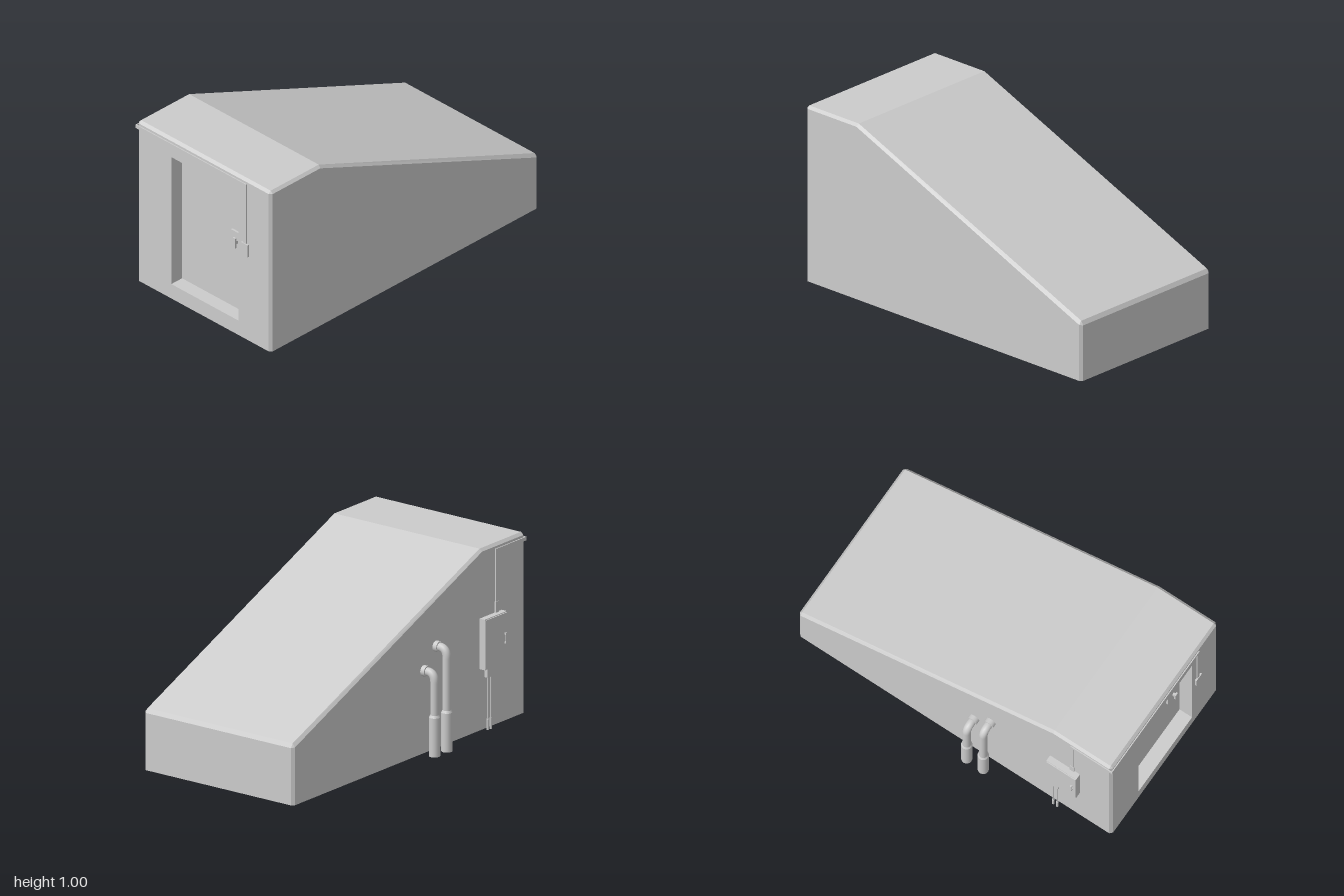
import * as THREE from 'three';

const flat = new THREE.MeshStandardMaterial({ color: 0xcccccc, flatShading: true, side: THREE.DoubleSide });
const smooth = new THREE.MeshStandardMaterial({ color: 0xcccccc, side: THREE.DoubleSide });

const BACK = -0.445, FRONT = 0.55, WALL = -0.99, BEVEL = 0.015;
const DOOR = { z0: -0.19, z1: 0.31, y0: 0.09, y1: 0.885, depth: 0.08 };

export function createModel() {
  const root = new THREE.Group();

  const add = (name, geometry, material = flat, parent = root) => {
    const mesh = new THREE.Mesh(geometry, material);
    mesh.name = name;
    parent.add(mesh);
    return mesh;
  };

  // box given by its minimum and maximum corners
  const box = (name, a, b, parent) => {
    const mesh = add(name, new THREE.BoxGeometry(b[0] - a[0], b[1] - a[1], b[2] - a[2]), flat, parent);
    mesh.position.set((a[0] + b[0]) / 2, (a[1] + b[1]) / 2, (a[2] + b[2]) / 2);
    return mesh;
  };

  // upright cylinder between two heights
  const post = (name, r, x, z, y0, y1, parent) => {
    const mesh = add(name, new THREE.CylinderGeometry(r, r, y1 - y0, 16), smooth, parent);
    mesh.position.set(x, (y0 + y1) / 2, z);
    return mesh;
  };

  const quads = (list) => {
    const p = [];
    for (const [a, b, c, d] of list) p.push(...a, ...b, ...c, ...a, ...c, ...d);
    const g = new THREE.BufferGeometry();
    g.setAttribute('position', new THREE.Float32BufferAttribute(p, 3));
    g.computeVertexNormals();
    return g;
  };

  // shell, open at the bottom: outer outline and the inset outline of the side walls
  const outer = [[1, 0], [1, 0.317], [0.986, 0.34], [-0.618, 1], [-0.975, 1], [WALL, 0.985], [WALL, 0]];
  const inset = [[0.985, 0], [0.985, 0.32], [0.985, 0.32], [-0.622, 0.985], [-0.975, 0.985], [-0.975, 0.985], [-0.975, 0]];
  const zf = FRONT - BEVEL, zb = BACK + BEVEL;
  const strips = [], bevels = [];
  for (let i = 0; i < outer.length - 1; i++) {
    const [a, b, c, d] = [outer[i], outer[i + 1], inset[i], inset[i + 1]];
    if (i < outer.length - 2) strips.push([[...a, zf], [...a, zb], [...b, zb], [...b, zf]]);
    bevels.push([[...c, FRONT], [...a, zf], [...b, zf], [...d, FRONT]]);
    bevels.push([[...d, BACK], [...b, zb], [...a, zb], [...c, BACK]]);
  }
  add('roofAndLowWall', quads(strips));
  add('bevelledEdges', quads(bevels));

  const sideShape = new THREE.Shape(inset.filter((_, i) => i !== 2 && i !== 5).map(([x, y]) => new THREE.Vector2(x, y)));
  add('frontWall', new THREE.ShapeGeometry(sideShape)).position.z = FRONT;
  const backGeo = new THREE.ShapeGeometry(sideShape);
  backGeo.scale(-1, 1, 1).rotateY(Math.PI); // keeps x, turns the wall to face the back
  const index = backGeo.index.array;
  for (let i = 0; i < index.length; i += 3) [index[i], index[i + 1]] = [index[i + 1], index[i]];
  add('backWall', backGeo).position.z = BACK;

  // tall end wall with the doorway cut out
  const rect = (Type, x0, y0, x1, y1) => new Type([
    new THREE.Vector2(x0, y0), new THREE.Vector2(x1, y0), new THREE.Vector2(x1, y1), new THREE.Vector2(x0, y1)]);
  const endShape = rect(THREE.Shape, zb, 0, zf, 0.985);
  endShape.holes.push(rect(THREE.Path, DOOR.z0, DOOR.y0, DOOR.z1, DOOR.y1));
  add('doorWall', new THREE.ShapeGeometry(endShape).rotateY(-Math.PI / 2)).position.x = WALL;

  // recessed door: reveals, panel, handle
  const door = new THREE.Group();
  door.name = 'door';
  root.add(door);
  const xi = WALL + DOOR.depth;
  const rim = [[DOOR.y0, DOOR.z0], [DOOR.y0, DOOR.z1], [DOOR.y1, DOOR.z1], [DOOR.y1, DOOR.z0]];
  add('doorReveal', quads(rim.map((p, i) => {
    const q = rim[(i + 1) % 4];
    return [[WALL, ...p], [WALL, ...q], [xi, ...q], [xi, ...p]];
  })), flat, door);
  add('doorPanel', quads([rim.map((p) => [xi, ...p])]), flat, door);
  box('handlePlate', [xi - 0.012, 0.465, 0.185], [xi, 0.575, 0.255], door);
  box('handleStem', [xi - 0.028, 0.51, 0.225], [xi - 0.012, 0.53, 0.24], door);
  box('handleGrip', [xi - 0.036, 0.49, 0.222], [xi - 0.026, 0.55, 0.242], door);

  // switch beside the door and the flat conduit leading round the corner
  box('switchBox', [-1, 0.525, 0.337], [WALL, 0.6, 0.388]);
  const conduit = new THREE.Group();
  conduit.name = 'conduit';
  root.add(conduit);
  const xc = WALL - 0.006, zc = BACK - 0.006;
  box('conduitDrop', [xc, 0.6, 0.352], [WALL, 0.972, 0.372], conduit);
  box('conduitEndRun', [xc, 0.952, zc], [WALL, 0.972, 0.372], conduit);
  box('conduitBackRun', [xc, 0.952, zc], [-0.733, 0.972, BACK], conduit);
  box('conduitBackDrop', [-0.753, 0.62, zc], [-0.733, 0.972, BACK], conduit);
  box('conduitFitting', [-0.756, 0.62, zc - 0.002], [-0.73, 0.68, BACK], conduit);

  // electrical cabinet on the back wall
  const cabinet = new THREE.Group();
  cabinet.name = 'electricalCabinet';
  root.add(cabinet);
  box('cabinetBody', [-0.79, 0.34, -0.48], [-0.6, 0.62, BACK], cabinet);
  box('cabinetLid', [-0.786, 0.344, -0.486], [-0.604, 0.616, -0.48], cabinet);
  box('cabinetHandle', [-0.77, 0.45, -0.498], [-0.76, 0.508, -0.493], cabinet);
  for (const y of [0.45, 0.498]) box('cabinetHandleFoot', [-0.77, y, -0.494], [-0.76, y + 0.01, -0.486], cabinet);
  box('cableGland', [-0.675, 0.292, -0.48], [-0.625, 0.34, -0.46], cabinet);
  for (const x of [-0.663, -0.637]) {
    post('cable', 0.0045, x, -0.47, 0, 0.3, cabinet);
    post('cableSleeve', 0.007, x, -0.47, 0, 0.06, cabinet);
  }

  // two bent pipes rising from the ground into the back wall
  const zp = -0.518;
  for (const [x, top] of [[-0.225, 0.567], [-0.12, 0.458]]) {
    const pipe = new THREE.Group();
    pipe.name = 'ventPipe';
    root.add(pipe);
    const v = (y, z) => new THREE.Vector3(x, y, z);
    const path = new THREE.CurvePath();
    path.add(new THREE.LineCurve3(v(0.2, zp), v(top - 0.05, zp)));
    path.add(new THREE.QuadraticBezierCurve3(v(top - 0.05, zp), v(top, zp), v(top, zp + 0.045)));
    path.add(new THREE.LineCurve3(v(top, zp + 0.045), v(top, BACK)));
    add('pipe', new THREE.TubeGeometry(path, 40, 0.023, 16), smooth, pipe);
    post('pipeSleeve', 0.03, x, zp, 0, 0.215, pipe);
    const collar = post('sleeveShoulder', 0.03, x, zp, 0.215, 0.228, pipe);
    collar.geometry = new THREE.CylinderGeometry(0.023, 0.03, 0.013, 16, 1, true);
    const flange = add('wallCollar', new THREE.CylinderGeometry(0.03, 0.03, 0.025, 16), smooth, pipe);
    flange.rotation.x = Math.PI / 2;
    flange.position.set(x, top, BACK - 0.0125);
  }

  return root;
}
